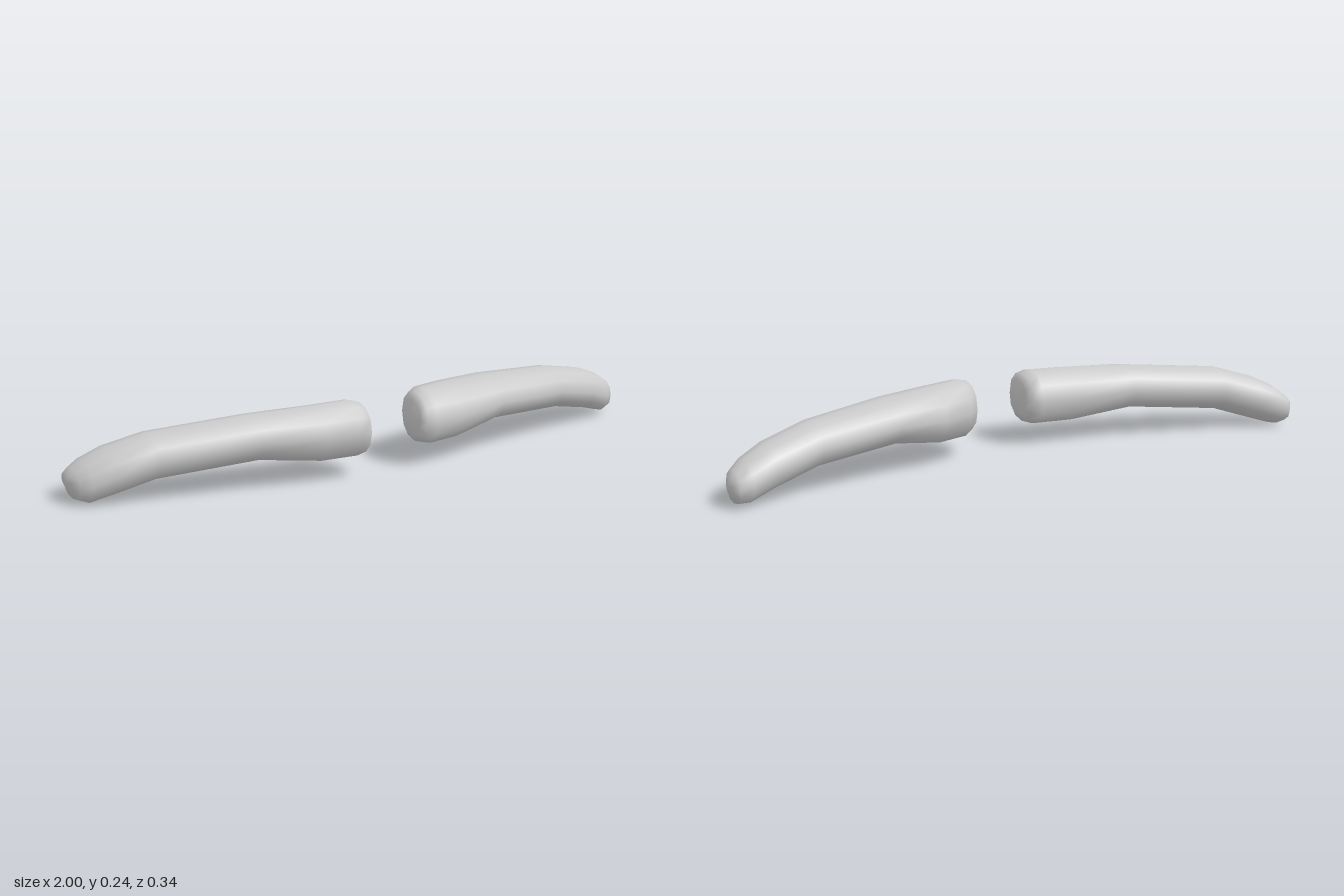
import * as THREE from 'three';

const SIDES = 12;

// Each section: [x, top y, bottom y, back z, front z], ordered by increasing x
const LEFT = [
  [0.09, 0.215, 0.10, 0.04, 0.145],
  [0.105, 0.238, 0.077, 0.01, 0.168],
  [0.14, 0.246, 0.064, -0.02, 0.169],
  [0.25, 0.243, 0.065, -0.06, 0.157],
  [0.42, 0.235, 0.095, -0.095, 0.126],
  [0.70, 0.210, 0.076, -0.133, 0.060],
  [0.86, 0.174, 0.037, -0.163, 0.015],
  [0.94, 0.140, 0.011, -0.173, -0.015],
  [0.98, 0.115, 0.014, -0.165, -0.05],
  [0.995, 0.095, 0.05, -0.14, -0.085],
];
const RIGHT = [
  [-0.995, 0.095, 0.05, -0.155, -0.075],
  [-0.98, 0.110, 0.014, -0.174, -0.045],
  [-0.95, 0.136, 0.004, -0.176, -0.015],
  [-0.88, 0.170, 0.026, -0.165, 0.015],
  [-0.76, 0.207, 0.065, -0.122, 0.052],
  [-0.45, 0.235, 0.094, -0.05, 0.124],
  [-0.25, 0.243, 0.066, -0.012, 0.157],
  [-0.13, 0.246, 0.067, 0.0, 0.169],
  [-0.10, 0.236, 0.077, 0.012, 0.168],
  [-0.087, 0.215, 0.10, 0.04, 0.145],
];

// Slightly squared power curve for the oval cross-section
const soft = (v) => Math.sign(v) * Math.abs(v) ** 0.9;

// Loft oval rings along x and close both ends with a shallow domed cap
function loft(sections, startX, endX) {
  const pos = [], index = [];
  const centre = ([, t, b, k, f]) => [(t + b) / 2, (k + f) / 2];
  for (const s of sections) {
    const [x, top, bottom, back, front] = s;
    const [cy, cz] = centre(s);
    for (let j = 0; j < SIDES; j++) {
      const a = (j / SIDES) * Math.PI * 2;
      pos.push(x, cy + soft(Math.sin(a)) * (top - bottom) / 2, cz + soft(Math.cos(a)) * (front - back) / 2);
    }
  }
  const last = sections.length - 1, start = sections.length * SIDES, end = start + 1;
  pos.push(startX, ...centre(sections[0]), endX, ...centre(sections[last]));
  for (let j = 0; j < SIDES; j++) {
    const n = (j + 1) % SIDES;
    for (let i = 0; i < last; i++) {
      const a = i * SIDES + j, b = a + SIDES, c = (i + 1) * SIDES + n, d = i * SIDES + n;
      index.push(a, b, c, a, c, d);
    }
    index.push(start, j, n, end, last * SIDES + n, last * SIDES + j);
  }
  const geo = new THREE.BufferGeometry();
  geo.setAttribute('position', new THREE.Float32BufferAttribute(pos, 3));
  geo.setIndex(index);
  geo.computeVertexNormals();
  return geo;
}

export function createModel() {
  const group = new THREE.Group();
  group.name = 'eyebrows';
  const material = new THREE.MeshStandardMaterial({ color: 0xcccccc });
  const add = (name, geometry) => {
    const mesh = new THREE.Mesh(geometry, material);
    mesh.name = name;
    group.add(mesh);
  };
  // The left brow is a little fuller behind than the right one
  add('leftEyebrow', loft(LEFT, 0.08, 1));
  add('rightEyebrow', loft(RIGHT, -1, -0.078));
  return group;
}
